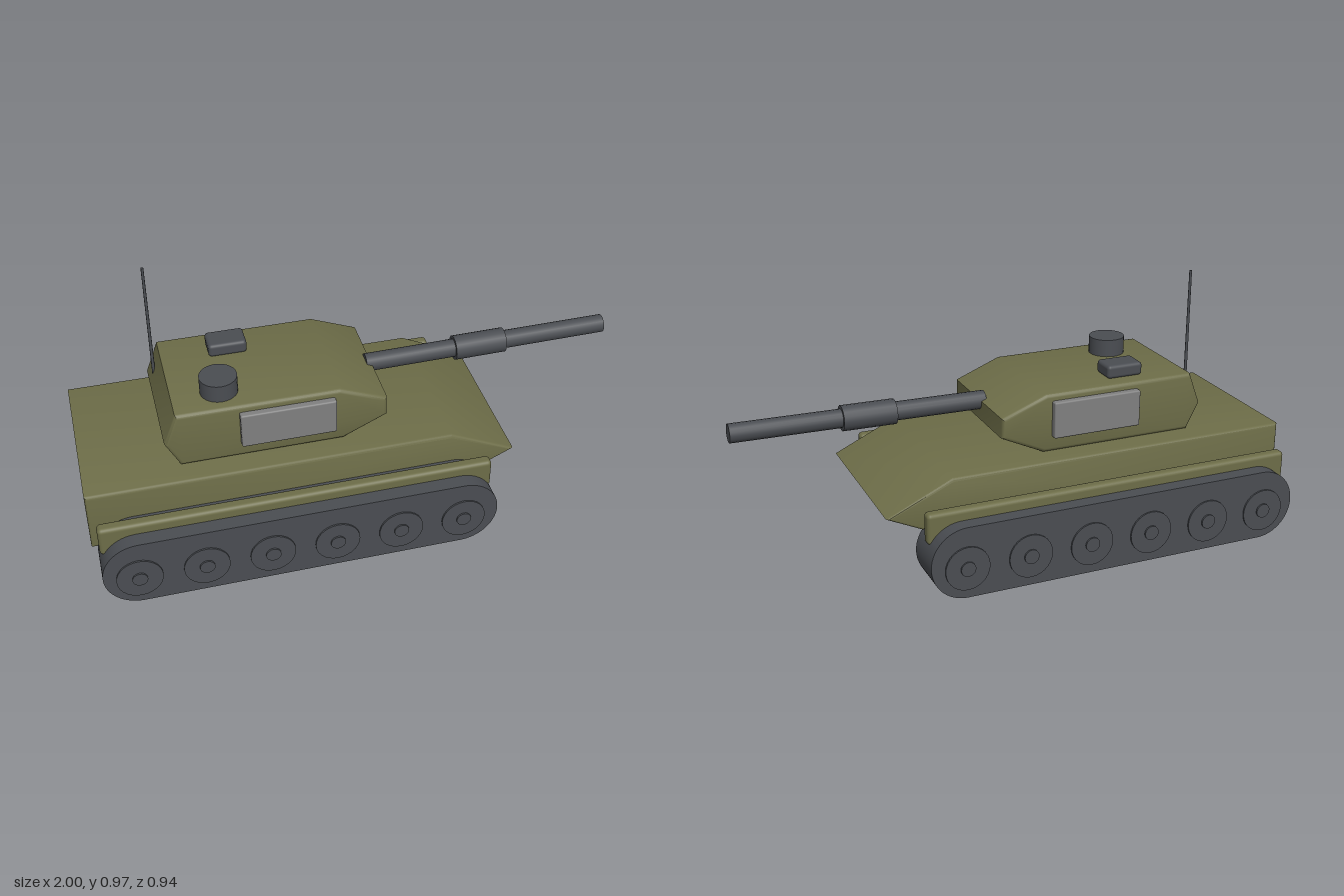
import * as THREE from 'three';
import { toCreasedNormals } from 'three/addons/utils/BufferGeometryUtils.js';
import { RoundedBoxGeometry } from 'three/addons/geometries/RoundedBoxGeometry.js';

export function createModel() {
  const model = new THREE.Group();
  model.name = 'tank';
  const material = (name, color) => {
    const m = new THREE.MeshStandardMaterial({ color });
    m.name = name;
    return m;
  };
  const olive = material('olive armour', 0x6d6d48);
  const dark = material('dark steel', 0x4a4d52);
  const grey = material('grey panel', 0x808080);

  function add(name, geometry, mat, x = 0, y = 0, z = 0, parent = model) {
    const mesh = new THREE.Mesh(geometry, mat);
    mesh.name = name;
    mesh.position.set(x, y, z);
    parent.add(mesh);
    return mesh;
  }

  // Side profile in x and y, extruded across z with softened edges
  function armour(points, width, bevel) {
    const shape = new THREE.Shape(points.map(([x, y]) => new THREE.Vector2(x, y)));
    const geometry = new THREE.ExtrudeGeometry(shape, {
      depth: width - 2 * bevel, bevelEnabled: true, bevelSize: bevel,
      bevelThickness: bevel, bevelOffset: -bevel, bevelSegments: 3,
    });
    geometry.translate(0, 0, -width / 2 + bevel);
    return toCreasedNormals(geometry, 0.6);
  }

  // Hull with a wedge nose
  add('hull', armour([
    [-1, 0.15], [0.3, 0.15], [0.55, 0.27], [0.31, 0.382], [-1, 0.382],
  ], 0.63, 0.012), olive);

  // Faceted turret
  add('turret', armour([
    [-0.655, 0.382], [-0.07, 0.382], [0.09, 0.457], [0.09, 0.532],
    [-0.08, 0.6], [-0.66, 0.6], [-0.705, 0.48],
  ], 0.46, 0.014), olive);

  // Tracks, road wheels, fenders and turret panels on both sides
  const r = 0.1325, rear = -0.98 + r, front = 0.445 - r;
  const loop = new THREE.Shape();
  loop.moveTo(rear, 0);
  loop.lineTo(front, 0);
  loop.absarc(front, r, r, -Math.PI / 2, Math.PI / 2, false);
  loop.lineTo(rear, 2 * r);
  loop.absarc(rear, r, r, Math.PI / 2, Math.PI * 1.5, false);
  const trackGeometry = toCreasedNormals(new THREE.ExtrudeGeometry(loop, {
    depth: 0.155, bevelEnabled: false, curveSegments: 20,
  }).translate(0, 0, -0.0775), 0.6);
  const wheelGeometry = new THREE.CylinderGeometry(0.081, 0.081, 0.03, 28).rotateX(Math.PI / 2);
  const hubGeometry = new THREE.CylinderGeometry(0.027, 0.027, 0.03, 20).rotateX(Math.PI / 2);
  const fenderGeometry = new RoundedBoxGeometry(1.41, 0.115, 0.046, 3, 0.015);
  const panelGeometry = new RoundedBoxGeometry(0.34, 0.136, 0.03, 2, 0.006);

  for (const [side, s] of [['left', 1], ['right', -1]]) {
    // The model drives toward +x, so these names follow the z sides
    const gear = new THREE.Group();
    gear.name = s > 0 ? 'nearRunningGear' : 'farRunningGear';
    model.add(gear);
    add('track', trackGeometry, dark, 0, 0, s * 0.3825, gear);
    for (let i = 0; i < 6; i++) {
      const x = -0.855 + i * 0.234;
      add('roadWheel', wheelGeometry, dark, x, 0.113, s * 0.451, gear);
      add('wheelHub', hubGeometry, dark, x, 0.113, s * 0.457, gear);
    }
    add('fender', fenderGeometry, olive, -0.27, 0.2475, s * 0.382, gear);
    add(side === 'left' ? 'nearTurretPanel' : 'farTurretPanel', panelGeometry, grey, -0.27, 0.507, s * 0.24);
  }

  // Gun, raised very slightly
  const gun = new THREE.Group();
  gun.name = 'gun';
  gun.position.set(0.07, 0.527, 0);
  gun.rotation.z = 0.013;
  model.add(gun);
  const tube = (radius, length) =>
    new THREE.CylinderGeometry(radius, radius, length, 16).rotateZ(-Math.PI / 2);
  add('barrel', tube(0.034, 0.93), dark, 0.465, 0, 0, gun);
  add('barrelSleeve', tube(0.046, 0.195), dark, 0.438, 0, 0, gun);

  // Roof fittings
  add('cupola', new THREE.CylinderGeometry(0.067, 0.067, 0.07, 28), dark, -0.49, 0.63, 0.121);
  add('hatch', new RoundedBoxGeometry(0.14, 0.05, 0.096, 3, 0.013), dark, -0.42, 0.624, -0.122);
  add('antenna', new THREE.CylinderGeometry(0.005, 0.006, 0.45, 8), dark, -0.686, 0.743, -0.146);

  return model;
}
